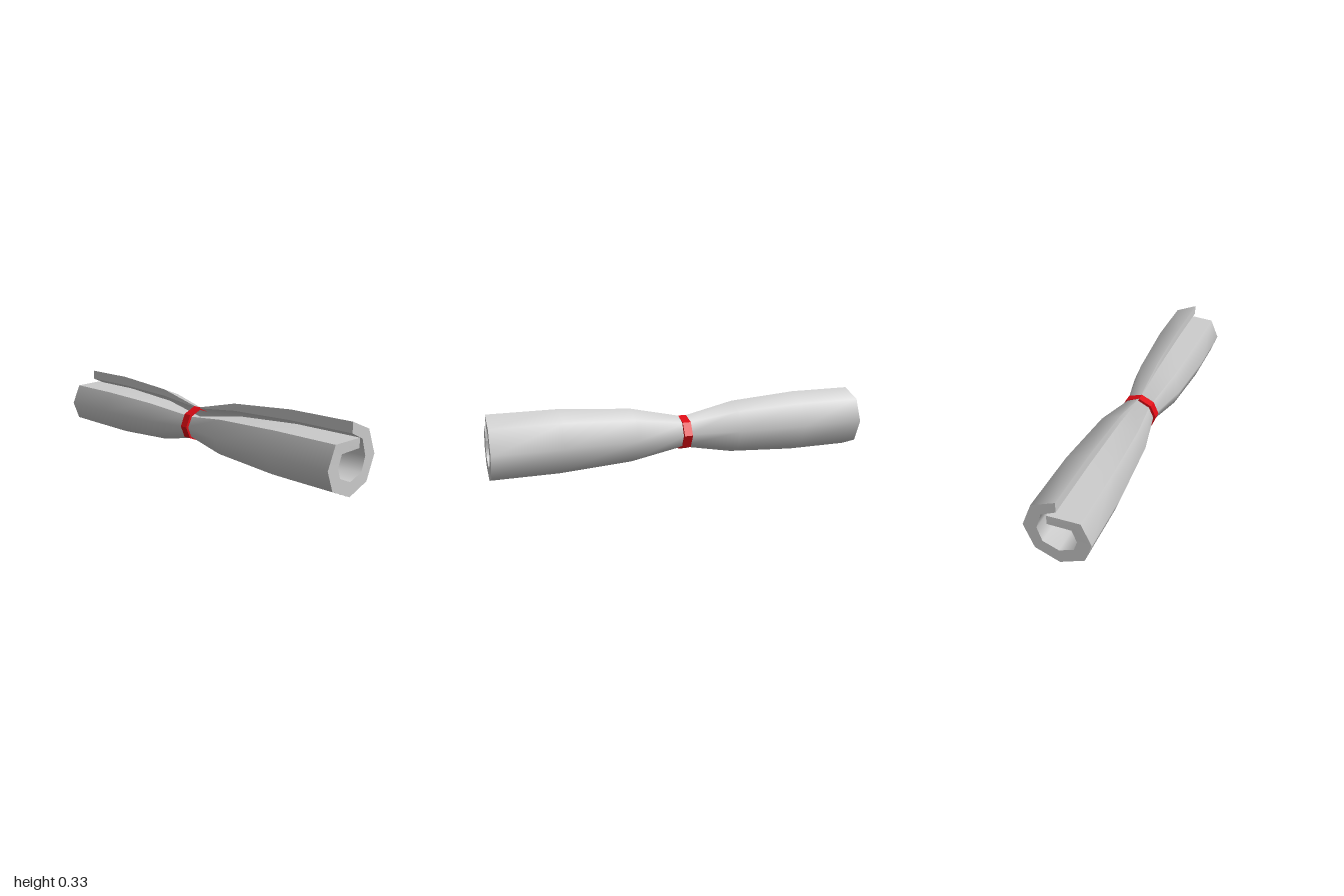
import * as THREE from 'three';
import { toCreasedNormals } from 'three/addons/utils/BufferGeometryUtils.js';

const MID = 0.152; // height of the roll's axis

// Cross-section of the rolled sheet as [z, y], from the outer lip to the tucked tip
const OUTER = [[0.005, 0.328], [-0.11, 0.282], [-0.157, 0.165], [-0.11, 0.048], [0.005, 0],
  [0.122, 0.048], [0.158, 0.142], [0.113, 0.247], [-0.037, 0.255]];
const INNER = [[0.005, 0.278], [-0.066, 0.245], [-0.092, 0.165], [-0.07, 0.097], [0.005, 0.067],
  [0.075, 0.095], [0.092, 0.142], [0.07, 0.2], [-0.037, 0.21]];

// Stations along the length: [x, outer scale, inner scale]
const HALF = [[0.28, 0.85, 0.9], [0.65, 1, 1], [0.992, 1, 1]];
const STATIONS = [
  ...HALF.map(([x, o, i]) => [-x, o, i]).reverse(),
  [0, 0.5, 0.67],
  ...HALF,
];

function section([x, outerScale, innerScale]) {
  const last = OUTER.length - 1;
  const place = (scale) => ([z, y], k) => {
    const tip = k === last;
    return [
      tip && Math.abs(x) > 0.9 ? Math.sign(x) : x, // the tip pokes out slightly at the ends
      MID + (y - MID) * scale - (tip ? 0.052 * (1 - outerScale) : 0),
      tip ? z : z * scale,
    ];
  };
  return [...OUTER.map(place(outerScale)), ...INNER.map(place(innerScale)).reverse()];
}

function rolledSheetGeometry() {
  const n = OUTER.length * 2;
  const positions = STATIONS.flatMap((s) => section(s).flat());
  const index = [];
  const quad = (a, b, c, d) => index.push(a, b, c, a, c, d);
  // Skin, inside and out
  for (let i = 0; i < STATIONS.length - 1; i++) {
    for (let j = 0; j < n; j++) {
      const k = (j + 1) % n;
      quad(i * n + j, (i + 1) * n + j, (i + 1) * n + k, i * n + k);
    }
  }
  // End faces joining the outer and inner outlines
  const end = (STATIONS.length - 1) * n;
  for (let j = 0; j < OUTER.length - 1; j++) {
    const inner = n - 1 - j;
    quad(end + j, end + inner, end + inner - 1, end + j + 1);
    quad(j, j + 1, inner - 1, inner);
  }
  const geometry = new THREE.BufferGeometry();
  geometry.setAttribute('position', new THREE.Float32BufferAttribute(positions, 3));
  geometry.setIndex(index);
  return toCreasedNormals(geometry, Math.PI / 3);
}

// Octagonal strap around the waist
function bandGeometry() {
  const outline = [[0.005, 0.245], [-0.067, 0.222], [-0.1, 0.158], [-0.067, 0.09],
    [0.005, 0.065], [0.072, 0.09], [0.097, 0.15], [0.07, 0.212]];
  const points = (s) => outline.map(([z, y]) => new THREE.Vector2(-z * s, MID + (y - MID) * s));
  const shape = new THREE.Shape(points(1));
  shape.holes.push(new THREE.Path(points(0.85)));
  const depth = 0.044;
  const geometry = new THREE.ExtrudeGeometry(shape, { depth, bevelEnabled: false });
  geometry.translate(0, 0, -depth / 2);
  geometry.rotateY(Math.PI / 2);
  return geometry;
}

export function createModel() {
  const model = new THREE.Group();
  model.name = 'tiedScroll';

  const sheet = new THREE.Mesh(
    rolledSheetGeometry(),
    new THREE.MeshStandardMaterial({ color: 0xcccccc, side: THREE.DoubleSide }),
  );
  sheet.name = 'rolledSheet';

  const band = new THREE.Mesh(bandGeometry(), new THREE.MeshStandardMaterial({ color: 0xdd0a14 }));
  band.name = 'band';

  model.add(sheet, band);
  return model;
}
